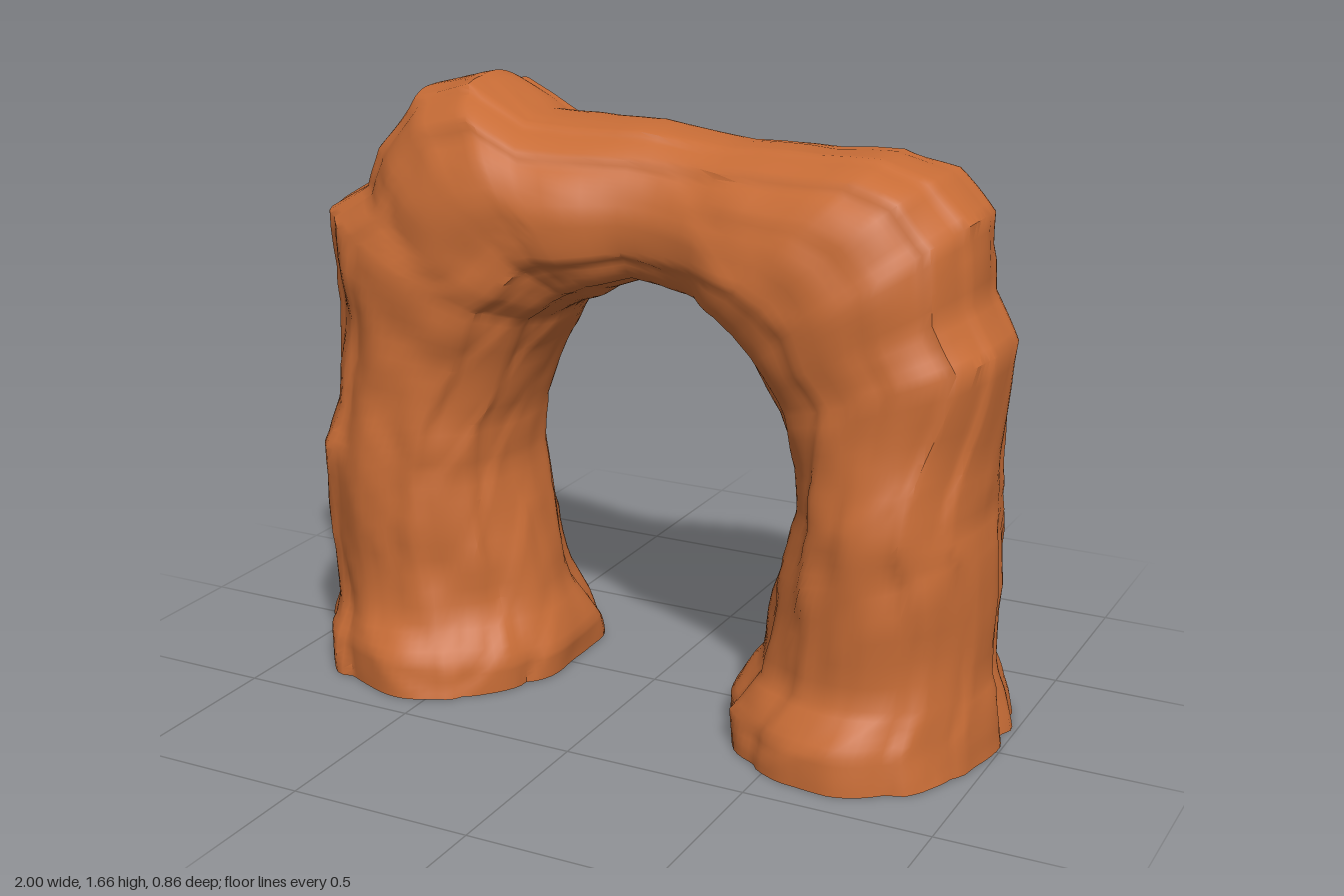
import * as THREE from 'three';
import { toCreasedNormals } from 'three/addons/utils/BufferGeometryUtils.js';

const { clamp, lerp } = THREE.MathUtils;

// Outline of the arch, foot to foot: inner x, y and outer x, y
const leftLeg = [
  [-0.26, 0.00, -0.96, 0.00],
  [-0.26, 0.07, -0.98, 0.09],
  [-0.31, 0.20, -0.97, 0.17],
  [-0.36, 0.40, -1.00, 0.42],
  [-0.40, 0.60, -0.98, 0.64],
  [-0.40, 0.74, -0.94, 0.75],
  [-0.33, 0.92, -0.94, 1.02],
  [-0.27, 1.03, -0.96, 1.28],
];
const bridge = [
  [-0.22, 1.06, -0.83, 1.36],
  [-0.18, 1.08, -0.79, 1.47],
  [-0.15, 1.09, -0.68, 1.62],
  [-0.13, 1.10, -0.50, 1.66],
  [-0.10, 1.13, -0.33, 1.57],
  [0.00, 1.16, 0.00, 1.56],
  [0.19, 1.13, 0.25, 1.53],
  [0.24, 1.09, 0.65, 1.54],
  [0.28, 1.05, 0.79, 1.50],
];
const rightLeg = [
  [0.32, 1.00, 0.89, 1.40],
  [0.36, 0.95, 0.90, 1.20],
  [0.41, 0.88, 0.97, 1.08],
  [0.46, 0.75, 0.95, 0.80],
  [0.47, 0.63, 0.94, 0.65],
  [0.40, 0.42, 0.96, 0.55],
  [0.36, 0.20, 0.97, 0.20],
  [0.28, 0.09, 0.98, 0.10],
  [0.28, 0.00, 1.00, 0.00],
];
const AROUND = 96;
const STEPS = 5;

// Smooth seeded noise on a lattice, from -1 to 1
function hash(x, y, z) {
  const s = Math.sin(x * 127.1 + y * 311.7 + z * 74.7) * 43758.5453;
  return s - Math.floor(s);
}
function noise(x, y, z) {
  const c = [x, y, z].map(Math.floor);
  const f = [x - c[0], y - c[1], z - c[2]].map((t) => t * t * (3 - 2 * t));
  let sum = 0;
  for (let k = 0; k < 8; k++) {
    const b = [k & 1, (k >> 1) & 1, k >> 2];
    const w = b.reduce((p, bit, i) => p * (bit ? f[i] : 1 - f[i]), 1);
    sum += w * hash(c[0] + b[0], c[1] + b[1], c[2] + b[2]);
  }
  return sum * 2 - 1;
}

// Saw-tooth step with a steep return, from -0.5 to 0.5
function ledge(t) {
  const f = t - Math.floor(t);
  return f < 0.85 ? f / 0.85 - 0.5 : 0.5 - (f - 0.85) / 0.15;
}

// Half depth: stepped feet, tapering legs with bulges, and a slim bridge
function halfDepth(x, y) {
  const foot = 0.05 * clamp((0.2 - y) / 0.1, 0, 1);
  const taper = 0.035 * clamp(1 - y / 0.8, 0, 1);
  const bulge = 0.012 * Math.cos((y - 1.2) * Math.PI / 0.3);
  const waist = 0.1 * Math.exp(-(((x - 0.1) / 0.22) ** 2)) * clamp((y - 0.9) / 0.2, 0, 1);
  return 0.315 + foot + taper + bulge - waist;
}

// Rounded-square trigonometry for the cross-section
const power = (t, n) => Math.sign(t) * Math.abs(t) ** (2 / n);

function rockPoint([ix, iy, ox, oy], angle) {
  const mx = (ix + ox) / 2, my = (iy + oy) / 2;
  const high = clamp((my - 0.6) / 0.6, 0, 1);
  const n = 2.05 + 0.6 * high;
  const u = power(Math.cos(angle), n), v = power(Math.sin(angle), n);
  const crown = 1 - 0.25 * high * Math.max(0, u);
  const dx = u * (ox - ix) / 2, dy = u * (oy - iy) / 2;
  const dz = v * halfDepth(mx, my) * crown;
  const x = mx + dx, y = my + dy;

  // Broad lumps, plus upright flutes and ledges away from the silhouette
  const lumps = noise(x * 4.5 + 9, y * 5 + 3, dz * 4.5 + 5) * 0.035
    + noise(x * 10, y * 9, dz * 10) * 0.025;
  const flutes = 0.05 * Math.abs(noise(x * 7 + 20, y * 0.9, dz * 7)) - 0.015;
  const steps = 0.05 * ledge(angle * 1.9 + 0.5 * noise(mx * 3, my * 3, 4));
  const strata = 0.02 * ledge(y * 3.5 + noise(x * 2, 7, dz * 3));
  // Cleft low on the outside of one leg
  const cleft = x > 0.75 ? 0.1 * Math.exp(-(((dz + 0.09) / 0.03) ** 2)) * clamp((0.62 - y) / 0.1, 0, 1) : 0;
  const k = 1 + lumps + (1 - high) * flutes + Math.abs(Math.sin(2 * angle)) * steps + strata - cleft;
  return [mx + dx * k, my + dy * k, dz * k - 0.02 * high];
}

function rockGeometry() {
  const sections = [...leftLeg, ...bridge, ...rightLeg];
  const rings = [];
  sections.slice(1).forEach((end, i) => {
    for (let j = 0; j < STEPS; j++) {
      rings.push(sections[i].map((start, c) => lerp(start, end[c], j / STEPS)));
    }
  });
  rings.push(sections.at(-1));

  const positions = [], index = [];
  rings.forEach((ring, r) => {
    for (let a = 0; a < AROUND; a++) {
      positions.push(...rockPoint(ring, (a / AROUND) * Math.PI * 2));
      if (r === rings.length - 1) continue;
      const p = r * AROUND + a, q = r * AROUND + (a + 1) % AROUND;
      index.push(p, q, q + AROUND, p, q + AROUND, p + AROUND);
    }
  });
  const geometry = new THREE.BufferGeometry();
  geometry.setAttribute('position', new THREE.Float32BufferAttribute(positions, 3));
  geometry.setIndex(index);
  return toCreasedNormals(geometry, 0.75);
}

export function createModel() {
  const group = new THREE.Group();
  group.name = 'rockArch';
  const sandstone = new THREE.MeshStandardMaterial({ color: 0xc76c36, side: THREE.DoubleSide });
  sandstone.name = 'sandstone';

  // Hollow stone shell, open under both feet
  const arch = new THREE.Mesh(rockGeometry(), sandstone);
  arch.name = 'archShell';
  group.add(arch);
  return group;
}
